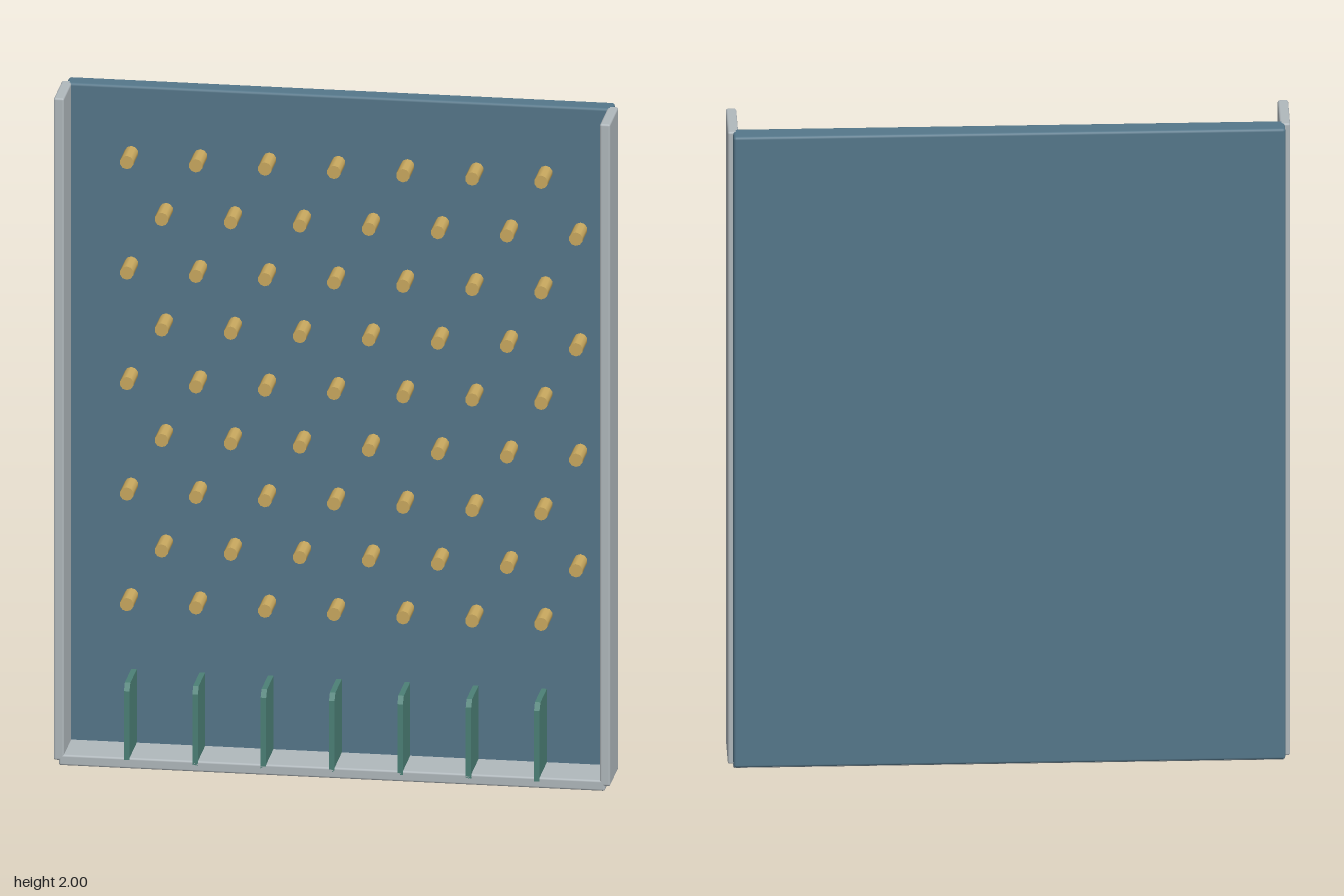
import * as THREE from 'three';
import { RoundedBoxGeometry } from 'three/addons/geometries/RoundedBoxGeometry.js';

const material = (name, color) => {
  const m = new THREE.MeshStandardMaterial({ color });
  m.name = name;
  return m;
};

export function createModel() {
  const blue = material('slate blue board', 0x55778a);
  const grey = material('light grey frame', 0xb0b8bc);
  const brass = material('brass pegs', 0xc9a95f);
  const green = material('green dividers', 0x4c8076);

  const model = new THREE.Group();
  model.name = 'pegBoard';

  const add = (parent, name, geometry, mat, x, y, z) => {
    const mesh = new THREE.Mesh(geometry, mat);
    mesh.name = name;
    mesh.position.set(x, y, z);
    parent.add(mesh);
    return mesh;
  };
  const group = (name) => {
    const g = new THREE.Group();
    g.name = name;
    model.add(g);
    return g;
  };

  // Back board
  add(model, 'backBoard', new RoundedBoxGeometry(1.57, 1.98, 0.06, 2, 0.008), blue, 0, 1.01, -0.07);

  // Side walls, mirrored
  const wall = new RoundedBoxGeometry(0.03, 1.985, 0.163, 2, 0.006);
  add(model, 'leftWall', wall, grey, 0.785, 1.0075, 0.0185);
  add(model, 'rightWall', wall, grey, -0.785, 1.0075, 0.0185);

  // Bottom ledge
  add(model, 'bottomLedge', new RoundedBoxGeometry(1.57, 0.032, 0.16, 2, 0.006), grey, 0, 0.016, 0.02);

  // Staggered rows of pegs, pointing forward
  const pegs = group('pegs');
  const peg = new THREE.CylinderGeometry(0.02, 0.02, 0.1, 10).rotateX(Math.PI / 2);
  for (let row = 0; row < 9; row++) {
    for (let col = 0; col < 7; col++) {
      const x = -0.597 + col * 0.1985 + (row % 2 ? 0.1 : 0);
      add(pegs, 'peg', peg, brass, x, 0.475 + row * 0.1657, 0);
    }
  }

  // Slot dividers with a chamfered front top corner
  const profile = new THREE.Shape([
    [-0.05, 0.02], [0.1, 0.02], [0.1, 0.232], [0.082, 0.252], [-0.05, 0.252],
  ].map(([z, y]) => new THREE.Vector2(-z, y)));
  const divider = new THREE.ExtrudeGeometry(profile, { depth: 0.016, bevelEnabled: false });
  divider.translate(0, 0, -0.008).rotateY(Math.PI / 2);
  const dividers = group('dividers');
  for (let i = 0; i < 7; i++) add(dividers, 'divider', divider, green, (i - 3) * 0.1965, 0, 0);

  return model;
}
